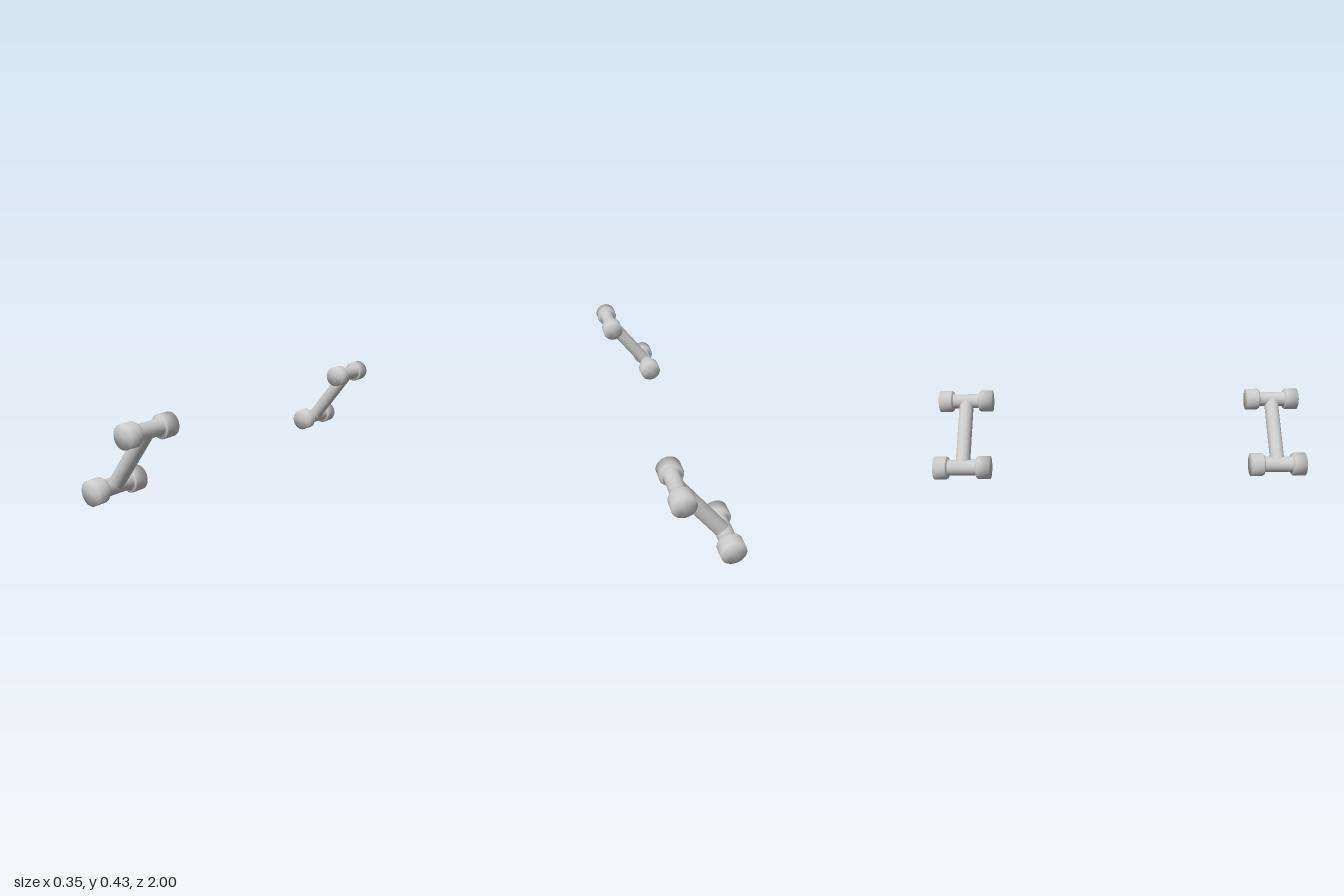
import * as THREE from 'three';

const material = new THREE.MeshStandardMaterial({ color: 0xcccccc });

// Pin lying along z with a wide head at both ends, turned as one smooth profile
function makePin(name, x, y, half, headRadius, shaftRadius) {
  const headLength = 0.072;
  const end = [
    [0, half],
    [headRadius, half],
    [headRadius, half - headLength + 0.008],
    [headRadius - 0.006, half - headLength],
    [shaftRadius, half - headLength - 0.002],
  ];
  const profile = [
    ...end.map(([r, h]) => new THREE.Vector2(r, -h)),
    ...end.reverse().map(([r, h]) => new THREE.Vector2(r, h)),
  ];
  const pin = new THREE.Mesh(new THREE.LatheGeometry(profile, 48), material);
  pin.name = name;
  pin.rotation.x = Math.PI / 2;
  pin.position.set(x, y, 0);
  return pin;
}

// Round rod joining the two pins
function makeRod(from, to, radius) {
  const span = to.clone().sub(from);
  const rod = new THREE.Mesh(new THREE.CylinderGeometry(radius, radius, span.length(), 40), material);
  rod.name = 'connectingRod';
  rod.position.copy(from).add(to).multiplyScalar(0.5);
  rod.quaternion.setFromUnitVectors(new THREE.Vector3(0, 1, 0), span.normalize());
  return rod;
}

// One link: lower pin, upper pin and the slanted rod between them
function makeLink(name, z) {
  const lower = new THREE.Vector3(-0.116, 0.063, 0);
  const upper = new THREE.Vector3(0.118, 0.372, 0);
  const link = new THREE.Group();
  link.name = name;
  link.add(
    makePin('lowerPin', lower.x, lower.y, 0.149, 0.062, 0.042),
    makePin('upperPin', upper.x, upper.y, 0.143, 0.058, 0.039),
    makeRod(lower, upper, 0.038),
  );
  link.position.z = z;
  return link;
}

export function createModel() {
  const model = new THREE.Group();
  model.name = 'linkPair';
  model.add(makeLink('frontLink', 0.851), makeLink('backLink', -0.851));
  return model;
}
